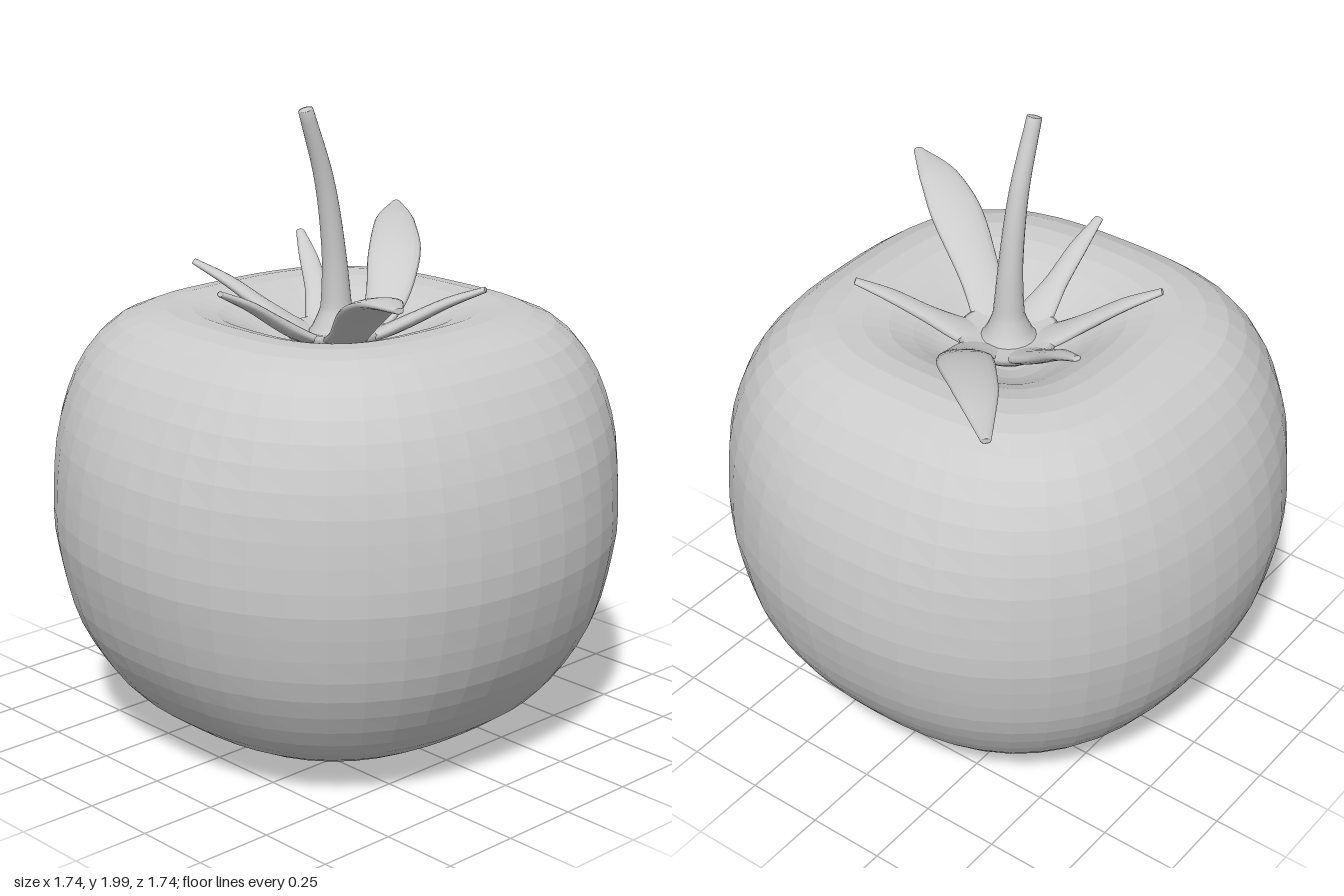
import * as THREE from 'three';

const V = (p) => new THREE.Vector3(...p);
const spline = (pts) => new THREE.CatmullRomCurve3(pts.map(V));

// Sweeps an ellipse along a path; sizes give [width, thickness] at each path point.
function loft(path, sizes, ref, steps, sides) {
  const curve = spline(path);
  const size = spline(sizes.map(([w, t]) => [w, t, 0]));
  const up = V(ref);
  const pos = [], index = [];
  const ring = (t, scale) => {
    const c = curve.getPoint(t), T = curve.getTangent(t), s = size.getPoint(t);
    const S = T.clone().cross(up).normalize();
    const U = S.clone().cross(T);
    for (let j = 0; j < sides; j++) {
      const a = (j / sides) * Math.PI * 2;
      const p = c.clone()
        .addScaledVector(S, Math.cos(a) * s.x * 0.5 * scale)
        .addScaledVector(U, Math.sin(a) * s.y * 0.5 * scale);
      pos.push(p.x, p.y, p.z);
    }
  };
  ring(0, 0);
  for (let i = 0; i <= steps; i++) ring(i / steps, 1);
  ring(1, 0.7);
  ring(1, 0);
  const rows = pos.length / 3 / sides;
  for (let i = 0; i < rows - 1; i++) {
    for (let j = 0; j < sides; j++) {
      const k = (j + 1) % sides;
      const a = i * sides + j, b = i * sides + k;
      const c = b + sides, d = a + sides;
      index.push(a, d, c, a, c, b);
    }
  }
  const g = new THREE.BufferGeometry();
  g.setAttribute('position', new THREE.Float32BufferAttribute(pos, 3));
  g.setIndex(index);
  g.computeVertexNormals();
  return g;
}

// Turns each circular ring into a superellipse, squarer towards the top and bottom.
function squareOff(geometry) {
  const p = geometry.attributes.position;
  for (let i = 0; i < p.count; i++) {
    const x = p.getX(i), y = p.getY(i), z = p.getZ(i);
    const r = Math.hypot(x, z);
    if (r < 1e-6) continue;
    const n = 2.15 + (y > 0.72 ? 0.85 : 0.4) * ((y - 0.72) / 0.65) ** 2;
    const k = (Math.abs(x / r) ** n + Math.abs(z / r) ** n) ** (-1 / n);
    p.setXYZ(i, x * k, y, z * k);
  }
  geometry.computeVertexNormals();
  return geometry;
}

export function createModel() {
  const model = new THREE.Group();
  const smooth = new THREE.MeshStandardMaterial({ color: 0xcccccc });
  const faceted = new THREE.MeshStandardMaterial({ color: 0xcccccc, flatShading: true });
  const add = (name, geometry, material = smooth, parent = model) => {
    const mesh = new THREE.Mesh(geometry, material);
    mesh.name = name;
    parent.add(mesh);
  };

  // Fruit: squat rounded body with a dimple at the top
  const profile = new THREE.SplineCurve([
    [0, 0.005], [0.2, 0.01], [0.37, 0.035], [0.54, 0.1], [0.67, 0.205], [0.795, 0.4],
    [0.853, 0.6], [0.868, 0.75], [0.843, 0.95], [0.79, 1.1], [0.72, 1.22], [0.63, 1.314],
    [0.53, 1.36], [0.42, 1.367], [0.31, 1.335], [0.2, 1.265], [0.1, 1.215], [0, 1.2],
  ].map(([x, y]) => new THREE.Vector2(x, y)));
  const points = profile.getSpacedPoints(36);
  points[0].x = points[36].x = 0;
  add('fruit', squareOff(new THREE.LatheGeometry(points, 48)), faceted);

  // Stem: tapered, bending to one side, with a flared foot
  add('stem', loft(
    [[0, 1.27, 0], [0, 1.31, 0], [0, 1.37, 0], [-0.01, 1.54, 0], [-0.05, 1.77, 0], [-0.125, 1.99, 0]],
    [[0.2, 0.2], [0.145, 0.145], [0.098, 0.098], [0.075, 0.075], [0.06, 0.06], [0.046, 0.046]],
    [0, 0, 1], 30, 20));

  // Calyx: hub with two long leaves and four short ones
  const calyx = new THREE.Group();
  calyx.name = 'calyx';
  model.add(calyx);
  const hub = [[0, 1.22], [0.09, 1.23], [0.15, 1.275], [0.16, 1.3], [0.145, 1.305], [0.08, 1.29], [0, 1.29]];
  add('calyxHub', new THREE.LatheGeometry(hub.map(([x, y]) => new THREE.Vector2(x, y)), 36), smooth, calyx);

  const longSizes = [[0.15, 0.03], [0.135, 0.04], [0.17, 0.045], [0.13, 0.035], [0.03, 0.018]];
  const longLeaves = [
    [[0.07, 1.27, 0.02], [0.2, 1.325, 0], [0.375, 1.45, -0.125], [0.55, 1.515, -0.3], [0.725, 1.525, -0.47]],
    [[-0.04, 1.27, 0.07], [-0.12, 1.335, 0.19], [-0.235, 1.46, 0.38], [-0.315, 1.52, 0.52], [-0.385, 1.535, 0.66]],
  ];
  for (const path of longLeaves) {
    add('longLeaf', loft(path, longSizes, [0, 1, 0], 24, 16), smooth, calyx);
  }

  const shortSizes = [[0.16, 0.03], [0.12, 0.04], [0.078, 0.04], [0.062, 0.032], [0.028, 0.018]];
  const shortTips = [[0.235, 1.505, -0.42], [-0.235, 1.48, -0.4], [-0.465, 1.48, -0.005], [0.24, 1.45, 0.405]];
  for (const [x, y, z] of shortTips) {
    const rise = [0, 0.17, 0.42, 0.74, 1];
    const path = [0.17, 0.34, 0.53, 0.76, 1].map((f, i) => [x * f, 1.27 + (y - 1.27) * rise[i], z * f]);
    add('shortLeaf', loft(path, shortSizes, [0, 1, 0], 20, 14), smooth, calyx);
  }
  return model;
}
